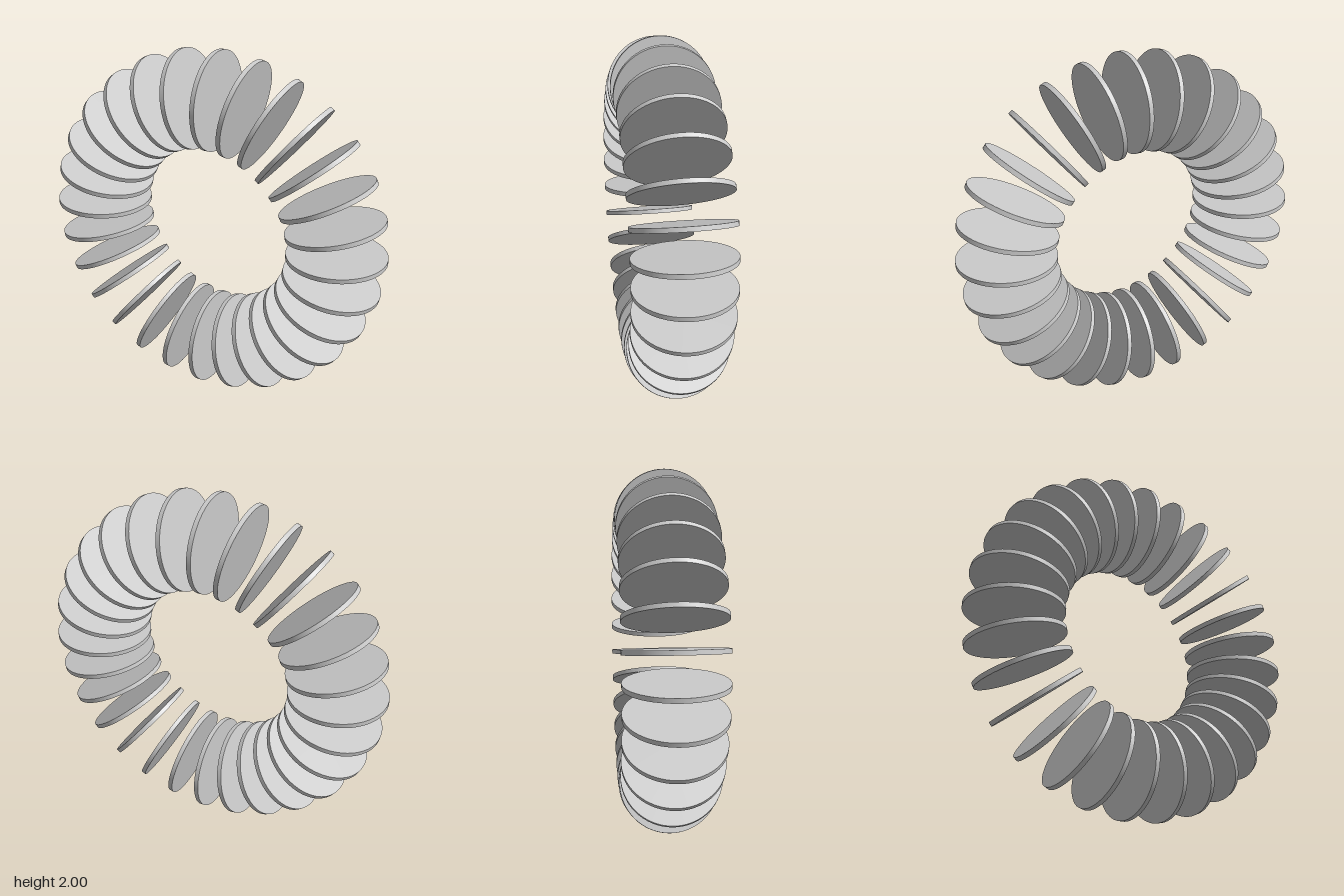
import * as THREE from 'three';

export function createModel() {
  const group = new THREE.Group();
  group.name = 'discRing';

  const count = 28;
  const discRadius = 0.27;
  const thickness = 0.025;
  const ringRadius = 1 - discRadius;

  // One upright disc at the top of the ring, with its flat left side on the radial plane
  const geometry = new THREE.CylinderGeometry(discRadius, discRadius, thickness, 96);
  geometry.rotateZ(-Math.PI / 2);
  geometry.translate(thickness / 2, ringRadius, 0);
  const material = new THREE.MeshStandardMaterial({ color: 0xcccccc });

  // Discs repeated clockwise around the ring's centre
  for (let i = 0; i < count; i++) {
    const disc = new THREE.Mesh(geometry, material);
    disc.name = `disc${i + 1}`;
    disc.position.y = 1;
    disc.rotation.z = (-i / count) * Math.PI * 2;
    group.add(disc);
  }
  return group;
}
